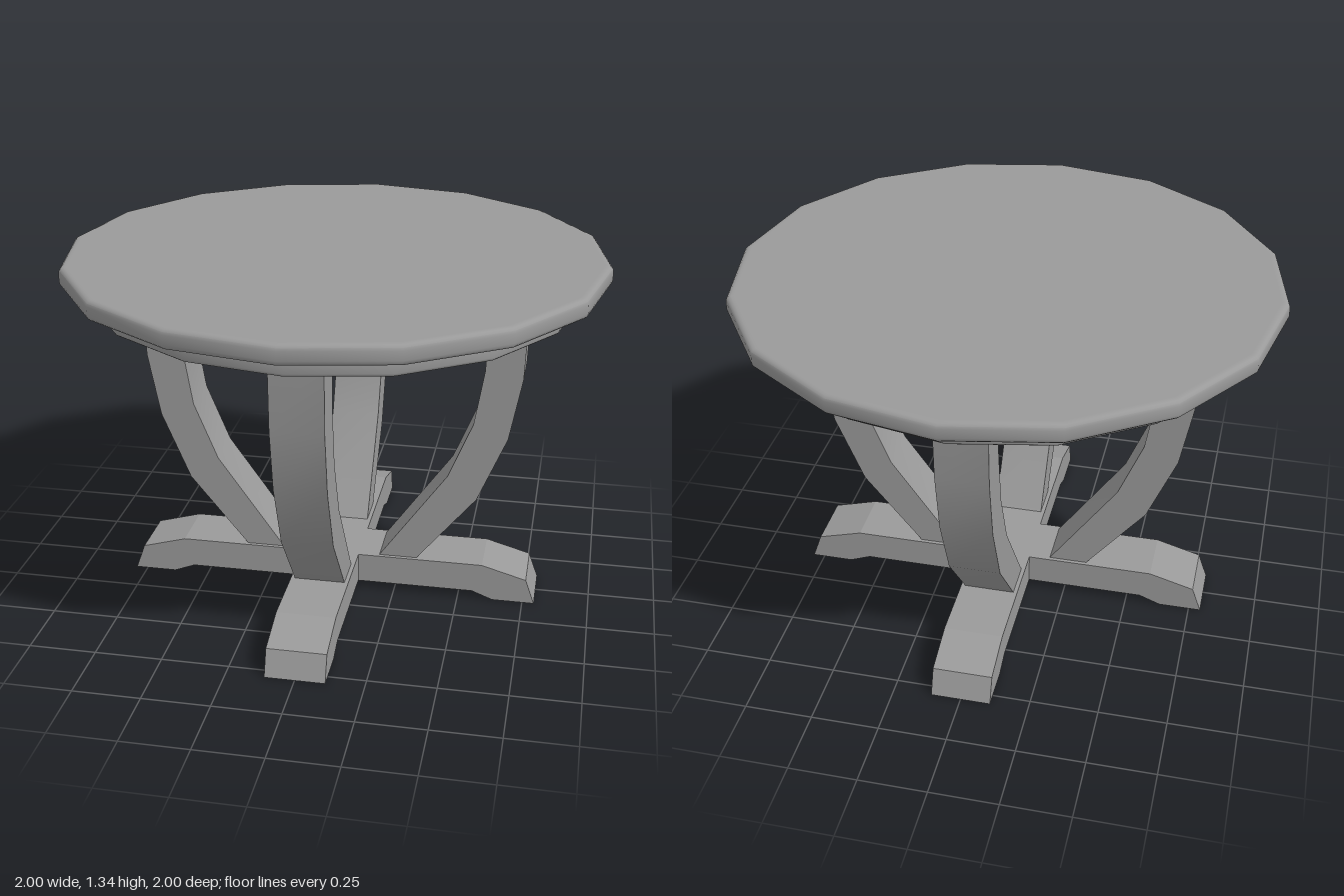
import * as THREE from 'three';
import { toCreasedNormals } from 'three/addons/utils/BufferGeometryUtils.js';

const material = new THREE.MeshStandardMaterial({ color: 0x9a9a9a });

function part(name, geometry, crease) {
  const mesh = new THREE.Mesh(toCreasedNormals(geometry, crease), material);
  mesh.name = name;
  return mesh;
}

// Sixteen-sided disc with softly rounded rims; an inset ring keeps each face flat
function disc(name, radius, bottom, top, round) {
  const inset = radius - round - 0.01;
  const points = [new THREE.Vector2(0, bottom), new THREE.Vector2(inset, bottom)];
  const steps = 3;
  for (const [y, start] of [[bottom + round, -Math.PI / 2], [top - round, 0]]) {
    for (let i = 0; i <= steps; i++) {
      const a = start + (i / steps) * Math.PI / 2;
      points.push(new THREE.Vector2(radius - round + round * Math.cos(a), y + round * Math.sin(a)));
    }
  }
  points.push(new THREE.Vector2(inset, top), new THREE.Vector2(0, top));
  return part(name, new THREE.LatheGeometry(points, 16), 0.6);
}

// Side profile in x and y, extruded to a width centred on z = 0
function slab(profile, width) {
  const shape = new THREE.Shape(profile.map(([x, y]) => new THREE.Vector2(x, y)));
  const geometry = new THREE.ExtrudeGeometry(shape, { depth: width, bevelEnabled: false });
  return geometry.translate(0, 0, -width / 2);
}

export function createModel() {
  const table = new THREE.Group();
  table.name = 'roundTable';

  // Top and the apron beneath it
  table.add(disc('tableTop', 1, 1.263, 1.335, 0.02));
  table.add(disc('apron', 0.9, 1.19, 1.263, 0.012));

  // Curved leg: up the outside, down the inside
  const legProfile = [
    [0.335, 0.146], [0.557, 0.417], [0.665, 0.675], [0.71, 0.915], [0.72, 1.195],
    [0.58, 1.195], [0.57, 0.94], [0.535, 0.725], [0.445, 0.505], [0.19, 0.146],
  ];

  // Base arm with a raised underside and a chamfered foot
  const armProfile = [
    [0.11, 0.031], [0.555, 0.031], [0.635, 0], [0.795, 0],
    [0.76, 0.098], [0.59, 0.146], [0.11, 0.146],
  ];

  for (let i = 0; i < 4; i++) {
    const quarter = new THREE.Group();
    quarter.name = 'legAndFoot' + (i + 1);
    quarter.add(part('leg', slab(legProfile, 0.19), 0.5));
    quarter.add(part('baseArm', slab(armProfile, 0.22), 0.2));
    quarter.rotation.y = i * Math.PI / 2;
    table.add(quarter);
  }

  // Block where the base arms meet
  const hub = new THREE.BoxGeometry(0.22, 0.115, 0.22).translate(0, 0.0885, 0);
  table.add(part('baseHub', hub, 0.2));

  return table;
}
